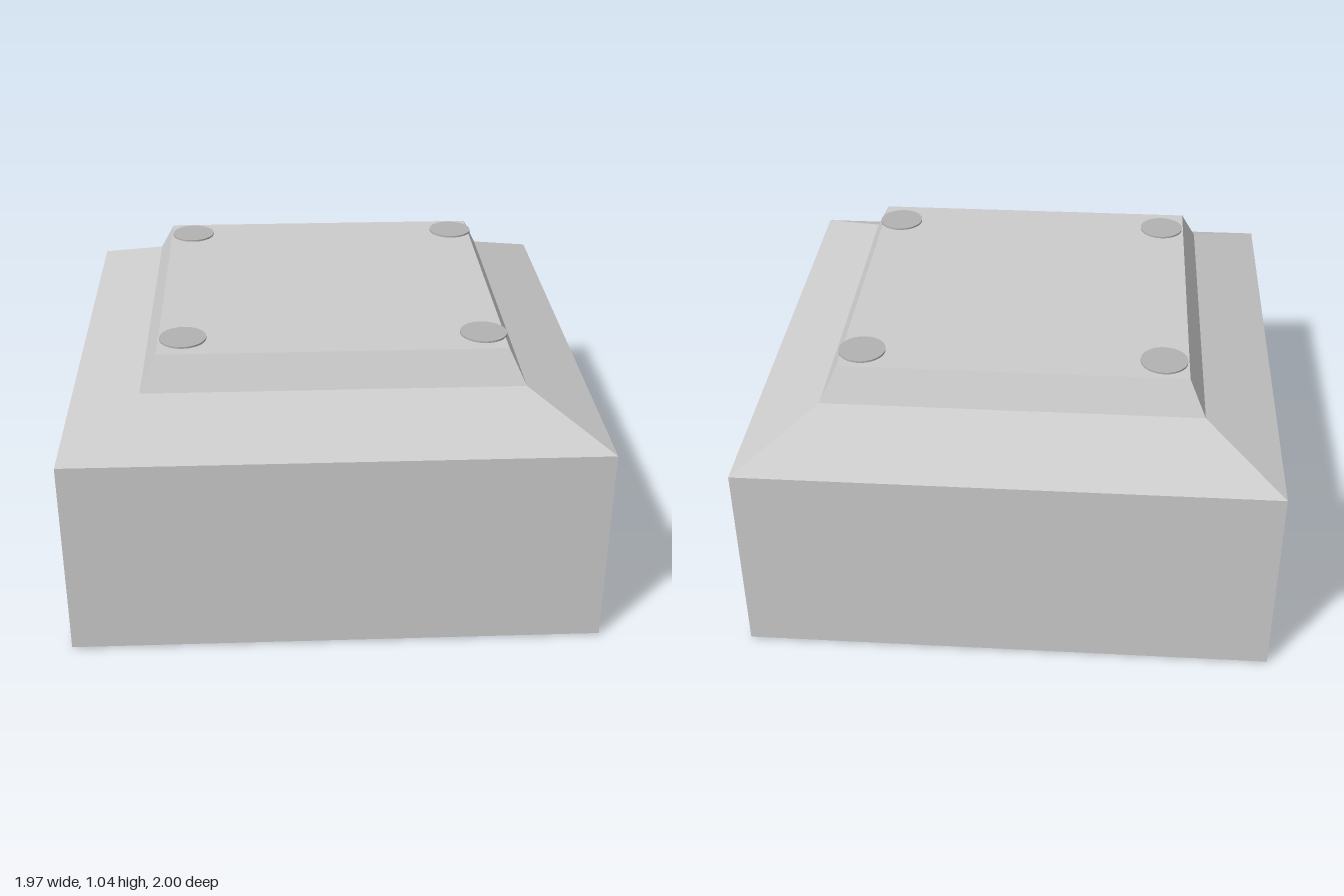
import * as THREE from 'three';

const grey = new THREE.MeshStandardMaterial({ color: 0xcccccc, flatShading: true });
const darker = new THREE.MeshStandardMaterial({ color: 0xb2b2b2 });

// Closed solid lofted through rectangular sections [y, half width, half depth]
function loftRects(sections) {
  const corners = [[1, 1], [1, -1], [-1, -1], [-1, 1]];
  const points = sections.flatMap(([y, w, d]) => corners.map(([x, z]) => [x * w, y, z * d]).flat());
  const index = [];
  for (let s = 0; s < sections.length - 1; s++) {
    for (let i = 0; i < 4; i++) {
      const a = s * 4 + i, b = s * 4 + (i + 1) % 4;
      index.push(a, b, b + 4, a, b + 4, a + 4);
    }
  }
  const t = (sections.length - 1) * 4;
  index.push(0, 2, 1, 0, 3, 2, t, t + 1, t + 2, t, t + 2, t + 3);
  const indexed = new THREE.BufferGeometry();
  indexed.setAttribute('position', new THREE.Float32BufferAttribute(points, 3));
  indexed.setIndex(index);
  const geometry = indexed.toNonIndexed();
  geometry.computeVertexNormals();
  return geometry;
}

// Thin round pad standing between two heights
function pad(name, radius, x, z, bottom, top) {
  const mesh = new THREE.Mesh(new THREE.CylinderGeometry(radius, radius, top - bottom, 40), darker);
  mesh.name = name;
  mesh.position.set(x, (bottom + top) / 2, z);
  return mesh;
}

export function createModel() {
  const model = new THREE.Group();
  model.name = 'steppedBlock';

  // Square block with a shallow shoulder and a steeper raised plinth
  const body = new THREE.Mesh(loftRects([
    [0.006, 0.985, 1.0],
    [0.775, 0.985, 1.0],
    [0.91, 0.703, 0.71],
    [1.034, 0.642, 0.647],
  ]), grey);
  body.name = 'body';
  model.add(body);

  // Four pads on the top, near the corners
  for (const x of [-0.55, 0.565]) {
    for (const z of [-0.535, 0.515]) model.add(pad('topPad', 0.087, x, z, 1.026, 1.041));
  }

  // Large round pad under the base
  model.add(pad('basePad', 0.42, 0, 0, 0, 0.012));

  return model;
}
